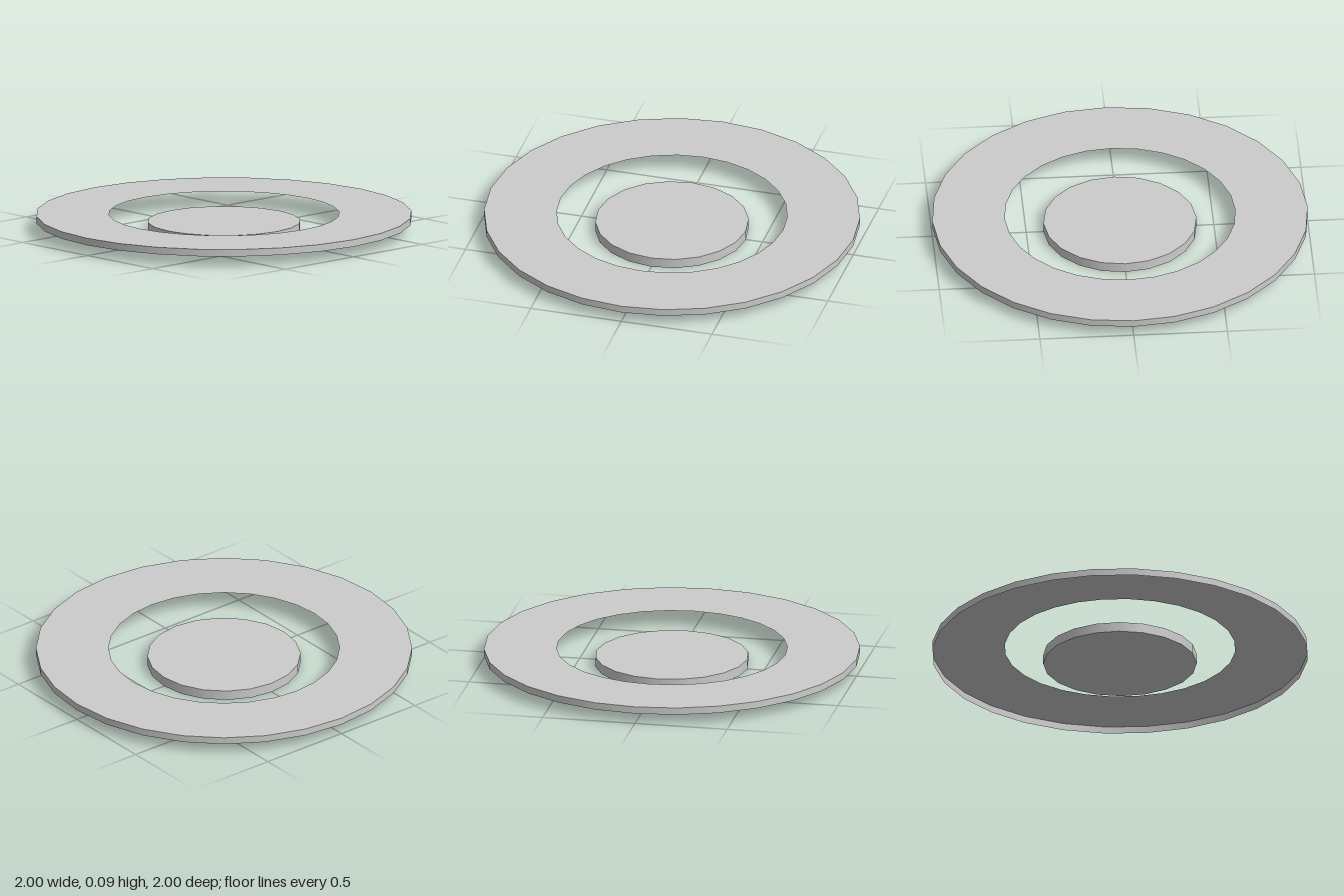
import * as THREE from 'three';

const OUTER = 1, INNER = 0.614, RING_SIDES = 28;
const RING_TOP = 0.093, RING_BOTTOM = 0.055;
const DISC_RADIUS = 0.408, DISC_SIDES = 20, DISC_HEIGHT = 0.053;

export function createModel() {
  const model = new THREE.Group();
  const solid = new THREE.MeshStandardMaterial({ color: 0xcccccc });
  const thin = new THREE.MeshStandardMaterial({ color: 0xcccccc, side: THREE.DoubleSide });

  const add = (name, geometry, material, y, parent = model) => {
    const mesh = new THREE.Mesh(geometry, material);
    mesh.name = name;
    mesh.position.y = y;
    parent.add(mesh);
  };

  // Outer ring: a flat annulus with a thin skirt, open underneath
  const ring = new THREE.Group();
  ring.name = 'outerRing';
  model.add(ring);
  const annulus = new THREE.RingGeometry(INNER, OUTER, RING_SIDES).rotateX(-Math.PI / 2);
  add('ringTop', annulus, thin, RING_TOP, ring);
  const skirtHeight = RING_TOP - RING_BOTTOM;
  const skirt = new THREE.CylinderGeometry(OUTER, OUTER, skirtHeight, RING_SIDES, 1, true);
  add('ringSkirt', skirt, thin, RING_BOTTOM + skirtHeight / 2, ring);

  // Separate centre disc, standing on the ground
  const disc = new THREE.CylinderGeometry(DISC_RADIUS, DISC_RADIUS, DISC_HEIGHT, DISC_SIDES);
  add('centreDisc', disc, solid, DISC_HEIGHT / 2);

  return model;
}
